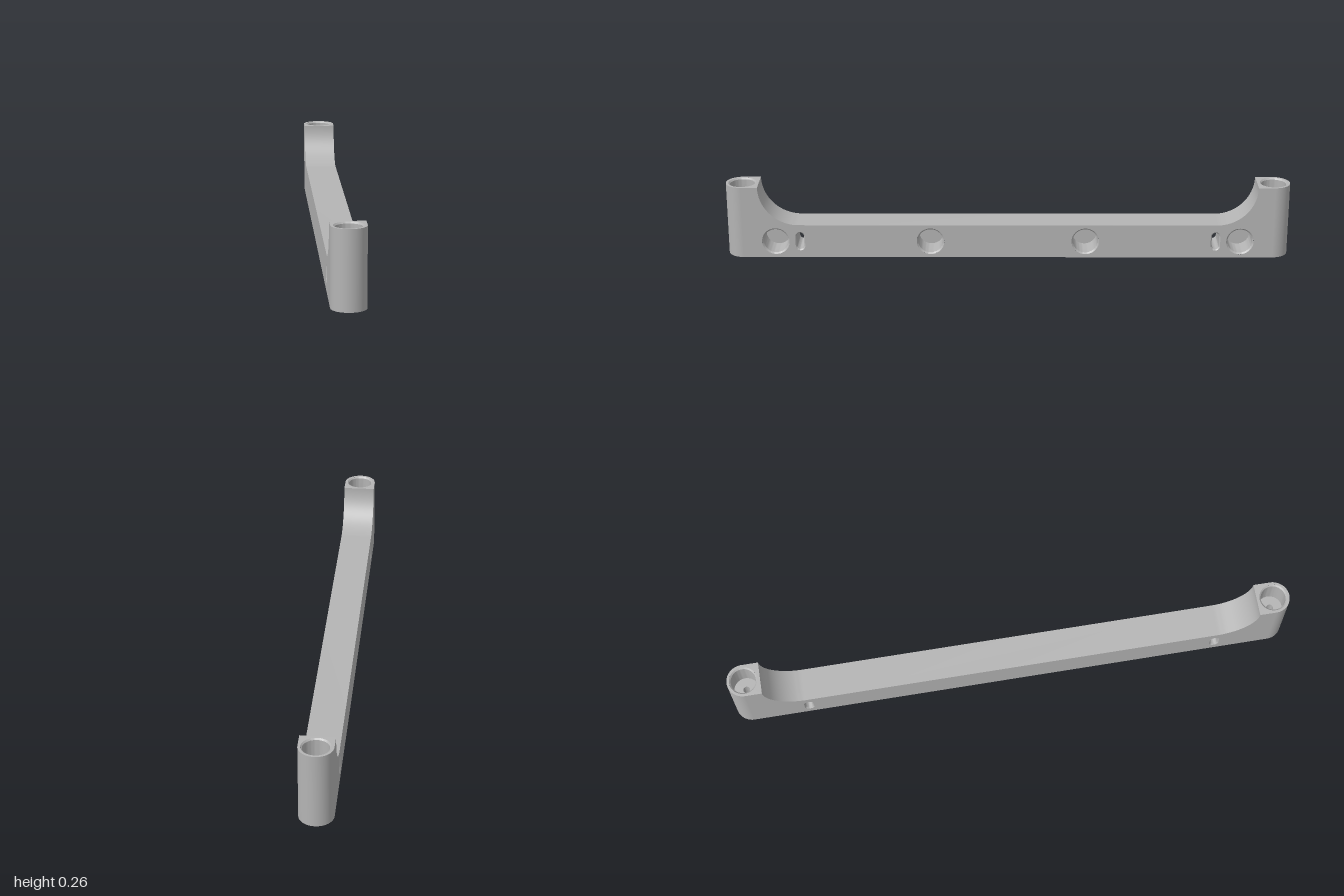
import * as THREE from 'three';
import { toCreasedNormals } from 'three/addons/utils/BufferGeometryUtils.js';

const W = 0.058;          // half thickness of the bar
const H = 0.263;          // tower height
const BAR = 0.122;        // bar height
const END = 0.942;        // z of the tower axes
const INNER = 0.883;      // z of the towers' inner edge
const R = H - BAR;        // fillet radius
const RIM = 0.049, BORE = 0.044, CHAMFER = 0.005;
const MID = 0.061;        // height of the side holes and slots
const SOCKETS = [-0.825, -0.275, 0.275, 0.825];
const SLOTS = [-0.738, 0.738];

// Grid surface through rows of points
function loft(rows) {
  const n = rows[0].length, index = [];
  for (let i = 0; i < rows.length - 1; i++) {
    for (let j = 0; j < n - 1; j++) {
      const a = i * n + j, b = a + 1, c = a + n, d = c + 1;
      index.push(a, b, c, b, d, c);
    }
  }
  const g = new THREE.BufferGeometry();
  g.setAttribute('position', new THREE.Float32BufferAttribute(rows.flat(2), 3));
  g.setIndex(index);
  return toCreasedNormals(g, 0.5);
}

// Closed outline of an upright slot, as [z, y] points
function slotOutline(z, r) {
  const pts = [], half = 0.018;
  for (let i = 0; i <= 24; i++) {
    const a = (i / 24) * Math.PI;
    pts.push([z + r * Math.cos(a), MID + half + r * Math.sin(a)]);
  }
  for (let i = 0; i <= 24; i++) {
    const a = Math.PI + (i / 24) * Math.PI;
    pts.push([z + r * Math.cos(a), MID - half + r * Math.sin(a)]);
  }
  pts.push(pts[0]);
  return pts;
}

function circleHole(x, y) {
  return new THREE.Path().absarc(x, y, RIM, 0, Math.PI * 2, true);
}

// Upper edge of the bar with its two fillets, from +z to -z
function topProfile() {
  const pts = [];
  for (let i = 0; i <= 24; i++) {
    const a = (i / 24) * Math.PI / 2;
    pts.push([INNER - R + R * Math.cos(a), H - R * Math.sin(a)]);
  }
  return pts.concat(pts.map(([z, y]) => [-z, y]).reverse());
}

// Side wall, with round openings only on the socket side
function sideShape(withSockets) {
  const outline = [[-END, H], [-END, 0], [END, 0], [END, H], ...topProfile()];
  const s = new THREE.Shape(outline.map(([z, y]) => new THREE.Vector2(z, y)));
  for (const z of SLOTS) {
    s.holes.push(new THREE.Path(slotOutline(z, 0.017).slice(0, -1).map(([u, v]) => new THREE.Vector2(u, v))));
  }
  if (withSockets) for (const z of SOCKETS) s.holes.push(circleHole(z, MID));
  return s;
}

// Chamfered bore facing up, opening at y = 0
function bore(tail) {
  const pts = [[RIM, 0], [BORE, -CHAMFER], ...tail].map(([r, y]) => new THREE.Vector2(r, y));
  return toCreasedNormals(new THREE.LatheGeometry(pts, 48), 0.5);
}

export function createModel() {
  const group = new THREE.Group();
  const grey = new THREE.MeshStandardMaterial({ color: 0xb4b4b4 });
  const add = (name, geometry) => {
    const m = new THREE.Mesh(geometry, grey);
    m.name = name;
    group.add(m);
    return m;
  };

  // Flat side walls
  add('socketSideWall', new THREE.ShapeGeometry(sideShape(true), 48).rotateY(Math.PI / 2).translate(W, 0, 0));
  add('plainSideWall', new THREE.ShapeGeometry(sideShape(false), 48).rotateY(-Math.PI / 2).translate(-W, 0, 0));

  // Top of the bar with the curved rises
  add('barTop', loft(topProfile().map(([z, y]) => [[-W, y, z], [W, y, z]])));

  // Underside with rounded ends
  const base = new THREE.Shape();
  base.moveTo(W, -END);
  base.lineTo(W, END);
  base.absarc(0, END, W, 0, Math.PI, false);
  base.lineTo(-W, -END);
  base.absarc(0, -END, W, Math.PI, Math.PI * 2, false);
  base.holes.push(circleHole(0, END), circleHole(0, -END));
  add('underside', new THREE.ShapeGeometry(base, 48).rotateX(Math.PI / 2));

  // End towers: round outer wall, top face and two bores joined by a pin hole
  const cap = new THREE.Shape();
  cap.moveTo(-W, INNER);
  cap.lineTo(W, INNER);
  cap.lineTo(W, END);
  cap.absarc(0, END, W, 0, Math.PI, false);
  cap.holes.push(circleHole(0, END));
  const towerBore = bore([[BORE, -0.1], [0.012, -0.1], [0.012, -H / 2]]);
  for (const [side, turn] of [['front', 0], ['back', Math.PI]]) {
    const z = turn ? -END : END;
    add(side + 'TowerWall', new THREE.CylinderGeometry(W, W, H, 48, 1, true, -Math.PI / 2, Math.PI)
      .translate(0, H / 2, END).rotateY(turn));
    add(side + 'TowerTop', new THREE.ShapeGeometry(cap, 48).rotateX(-Math.PI / 2).rotateY(Math.PI + turn)
      .translate(0, H, 0));
    add(side + 'TowerUpperBore', towerBore.clone().translate(0, H, z));
    add(side + 'TowerLowerBore', towerBore.clone().rotateX(Math.PI).translate(0, 0, z));
  }

  // Blind round sockets in one side
  const socket = bore([[BORE, -0.09], [0, -0.09]]).rotateZ(-Math.PI / 2);
  for (const z of SOCKETS) add('sideSocket', socket.clone().translate(W, MID, z));

  // Slots running through the bar
  const sections = [[-W, 0.017], [-W + 0.004, 0.013], [W - 0.004, 0.013], [W, 0.017]];
  for (const z of SLOTS) {
    add('slot', loft(sections.map(([x, r]) => slotOutline(z, r).map(([u, v]) => [x, v, u]))));
  }
  return group;
}
